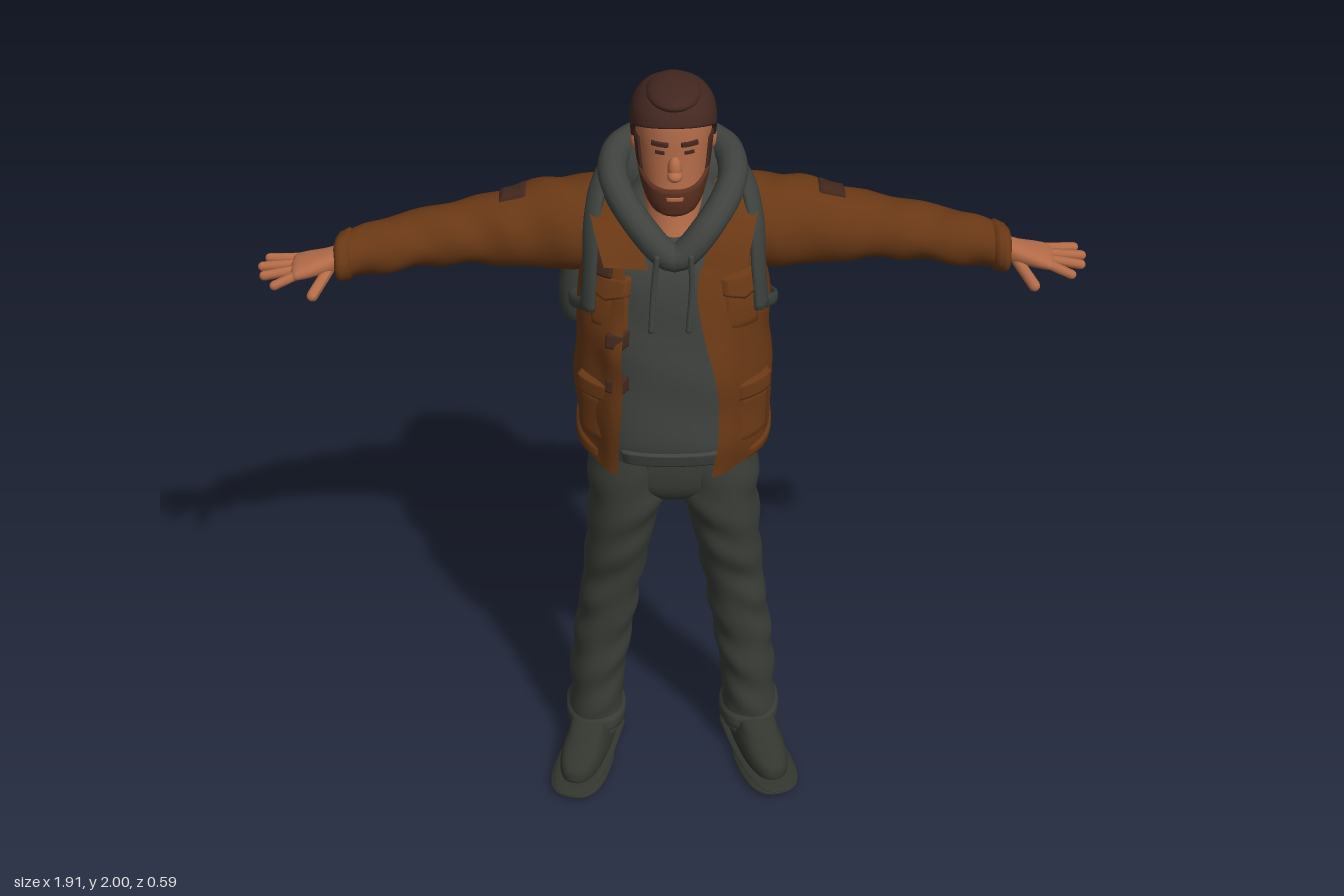
import * as THREE from 'three';
import { mergeVertices } from 'three/addons/utils/BufferGeometryUtils.js';

const TAU = Math.PI * 2;
const V = (x, y, z) => new THREE.Vector3(x, y, z);
const mat = (name, color, side = THREE.FrontSide) => {
  const m = new THREE.MeshStandardMaterial({ color, side });
  m.name = name;
  return m;
};

// Smooth interpolation of keyed rows [t, ...values]
function blend(rows, t) {
  const n = rows.length;
  let i = 0;
  while (i < n - 2 && t > rows[i + 1][0]) i++;
  const a = rows[i], b = rows[i + 1], p = rows[Math.max(i - 1, 0)], q = rows[Math.min(i + 2, n - 1)];
  const h = b[0] - a[0], s = THREE.MathUtils.clamp((t - a[0]) / h, 0, 1), s2 = s * s, s3 = s2 * s;
  return a.slice(1).map((va, k) => {
    const vb = b[k + 1];
    const ma = (vb - p[k + 1]) / (b[0] - p[0]) * h, mb = (q[k + 1] - va) / (q[0] - a[0]) * h;
    return (2 * s3 - 3 * s2 + 1) * va + (s3 - 2 * s2 + s) * ma + (3 * s2 - 2 * s3) * vb + (s3 - s2) * mb;
  });
}

// Grid surface from fn(u, v); u runs around, v along
function surf(fn, nu, nv) {
  const pos = [], idx = [], w = nu + 1;
  for (let j = 0; j <= nv; j++) for (let i = 0; i <= nu; i++) pos.push(...fn(i / nu, j / nv).toArray());
  for (let j = 0; j < nv; j++) for (let i = 0; i < nu; i++) {
    const a = j * w + i, d = a + w;
    idx.push(a, a + 1, d + 1, a, d + 1, d);
  }
  let g = new THREE.BufferGeometry();
  g.setAttribute('position', new THREE.Float32BufferAttribute(pos, 3));
  g.setIndex(idx);
  g = mergeVertices(g, 1e-5);
  g.computeVertexNormals();
  return g;
}

// Body surface point(t, angle, offset). axis y rows: [y, cx, cz, rx, rz]; axis x rows: [x, cz, cy, rz, ry]
function body(rows, { axis = 'y', e = 2, fold = 0, freq = 40 } = {}) {
  const pw = (v) => Math.sign(v) * Math.abs(v) ** (2 / e);
  const f = (t, th, off = 0) => {
    const [a, b, ra, rb] = blend(rows, t);
    const o = off + fold * Math.sin(t * freq + 2.5 * Math.sin(th)) * (0.6 + 0.4 * Math.sin(3 * th + t * 11));
    const p = a + (ra + o) * pw(Math.sin(th)), q = b + (rb + o) * pw(Math.cos(th));
    return axis === 'y' ? V(p, t, q) : V(t, q, p);
  };
  f.t0 = rows[0][0];
  f.t1 = rows[rows.length - 1][0];
  return f;
}
const whole = (f, nu = 40, nv = 40) => surf((u, v) => f(f.t0 + (f.t1 - f.t0) * v, u % 1 * TAU), nu, nv);

// Raised patch on a body; its rim sinks into the surface
function patch(f, t0, t1, th0, th1, off = 0.008, nu = 14, nv = 10) {
  const val = (x, k) => (typeof x === 'function' ? x(k) : x);
  return surf((u, v) => {
    const th = th0 + (th1 - th0) * u;
    const lo = val(t0, th), hi = val(t1, th);
    const rim = v === 0 || v === 1 || ((u === 0 || u === 1) && Math.abs(th1 - th0) < TAU - 0.01);
    return f(lo + (hi - lo) * v, th, rim ? -0.003 : off);
  }, nu, nv);
}

// Flat-oval band along a path, facing away from a centre
function sweep(pts, w, t, closed = false, nv = 48, c = V(0, 1.45, 0.06)) {
  const curve = new THREE.CatmullRomCurve3(pts.map((p) => V(...p)), closed);
  return surf((u, v) => {
    const p = curve.getPoint(v), T = curve.getTangent(v);
    const N = p.clone().sub(c).projectOnPlane(T).normalize(), B = T.clone().cross(N);
    const end = !closed && (v === 0 || v === 1) ? 0.01 : 1, a = (u % 1) * TAU;
    return p.addScaledVector(N, t * end * Math.cos(a)).addScaledVector(B, w * end * Math.sin(a));
  }, 12, nv);
}

const ball = (x, y, z, rx, ry, rz) => new THREE.SphereGeometry(1, 28, 20).scale(rx, ry, rz).translate(x, y, z);
function finger(a, b, r) {
  const p = V(...a), d = V(...b).sub(p), len = d.length();
  const q = new THREE.Quaternion().setFromUnitVectors(V(0, 1, 0), d.clone().normalize());
  return new THREE.CapsuleGeometry(r, len, 5, 10).applyQuaternion(q).translate(...p.addScaledVector(d, 0.5).toArray());
}
function mirror(geo) {
  const g = geo.clone(), ix = g.index.array;
  g.scale(-1, 1, 1);
  for (let i = 0; i < ix.length; i += 3) [ix[i], ix[i + 1]] = [ix[i + 1], ix[i]];
  g.computeVertexNormals();
  return g;
}

export function createModel() {
  const root = new THREE.Group();
  root.name = 'hiker';
  const D = THREE.DoubleSide;
  const skin = mat('skin', 0xb36b48), hair = mat('hair', 0x432720, D), beard = mat('beard', 0x5a2f1f, D);
  const leather = mat('jacketBrown', 0x693815, D), dark = mat('darkBrown', 0x42281d, D);
  const grey = mat('hoodieGrey', 0x3f423e, D), denim = mat('trouserGrey', 0x3b3e38, D);
  const boot = mat('bootGrey', 0x33362f, D), pack = mat('packGrey', 0x3b403c, D);
  const add = (name, geo, m) => {
    const mesh = new THREE.Mesh(geo, m);
    mesh.name = name;
    root.add(mesh);
  };
  const both = (name, geo, m) => { add(name + 'Left', geo, m); add(name + 'Right', mirror(geo), m); };

  // Head and neck
  const head = body([[1.7, 0, 0.145, 0.002, 0.002], [1.708, 0, 0.145, 0.035, 0.045], [1.725, 0, 0.132, 0.054, 0.068],
    [1.76, 0, 0.114, 0.068, 0.09], [1.8, 0, 0.1, 0.077, 0.1], [1.85, 0, 0.093, 0.083, 0.104], [1.9, 0, 0.09, 0.086, 0.106],
    [1.94, 0, 0.09, 0.081, 0.1], [1.968, 0, 0.09, 0.063, 0.08], [1.985, 0, 0.09, 0.035, 0.045], [1.99, 0, 0.09, 0.002, 0.002]], { e: 2.2 });
  add('head', whole(head), skin);
  add('neck', whole(body([[1.58, 0, 0.1, 0.07, 0.085], [1.68, 0, 0.078, 0.068, 0.076], [1.8, 0, 0.07, 0.066, 0.072]])), skin);
  add('nose', ball(0, 1.832, 0.198, 0.016, 0.028, 0.018), skin);
  add('noseTip', ball(0, 1.818, 0.208, 0.017, 0.013, 0.02), skin);
  both('ear', ball(0.086, 1.842, 0.068, 0.012, 0.031, 0.02), skin);
  const hairline = (th) => 1.86 + 0.07 * Math.max(0, Math.cos(th)) ** 0.5 - 0.07 * Math.max(0, -Math.cos(th)) ** 0.5;
  add('hair', patch(head, hairline, 1.99, 0, TAU, 0.011, 48, 20), hair);
  add('hairTop', ball(0, 1.974, 0.105, 0.062, 0.026, 0.088), hair);
  both('sideburn', patch(head, 1.8, 1.885, 1.05, 1.5, 0.005), hair);
  add('beard', patch(head, 1.703, (th) => 1.782 + 0.045 * Math.min(1, Math.abs(th) / 1.35) ** 3, -1.4, 1.4, 0.006, 30, 14), beard);
  add('lips', patch(head, 1.754, 1.764, -0.25, 0.25, 0.009), skin);
  both('eyebrow', patch(head, 1.884, 1.895, 0.12, 0.6, 0.006), hair);
  both('eye', patch(head, 1.864, 1.873, 0.22, 0.5, 0.003), hair);

  // Hoodie with hanging hood and cords
  const hoodie = body([[1.045, 0, 0.08, 0.2, 0.155], [1.1, 0, 0.08, 0.21, 0.165], [1.3, 0, 0.08, 0.205, 0.158], [1.5, 0, 0.075, 0.2, 0.15],
    [1.6, 0, 0.062, 0.17, 0.135], [1.67, 0, 0.045, 0.12, 0.085], [1.72, 0, 0.03, 0.08, 0.05]], { e: 2.5, fold: 0.003, freq: 30 });
  add('hoodie', whole(hoodie), grey);
  add('hoodieRib', patch(hoodie, 1.045, 1.09, -0.6, 0.6, 0.007), grey);
  add('hoodRim', sweep([[0, 1.605, 0.205], [0.075, 1.67, 0.18], [0.135, 1.735, 0.07], [0.115, 1.76, -0.04], [0, 1.765, -0.1],
    [-0.115, 1.76, -0.04], [-0.135, 1.735, 0.07], [-0.075, 1.67, 0.18]], 0.034, 0.036, true), grey);
  add('hoodBag', ball(0, 1.7, -0.065, 0.165, 0.1, 0.11), grey);
  add('cordLeft', sweep([[0.035, 1.63, 0.235], [0.038, 1.55, 0.238], [0.03, 1.43, 0.25]], 0.007, 0.007), grey);
  add('cordRight', sweep([[-0.04, 1.63, 0.235], [-0.048, 1.55, 0.238], [-0.055, 1.43, 0.25]], 0.007, 0.007), grey);

  // Open jacket
  const coat = body([[1.03, 0, 0.082, 0.222, 0.178], [1.2, 0, 0.085, 0.233, 0.176], [1.4, 0, 0.08, 0.225, 0.17], [1.5, 0, 0.073, 0.218, 0.163],
    [1.6, 0, 0.06, 0.205, 0.152], [1.66, 0, 0.048, 0.185, 0.13], [1.71, 0, 0.035, 0.15, 0.1], [1.74, 0, 0.03, 0.11, 0.07]], { e: 2.5, fold: 0.004, freq: 34 });
  const opening = [[1.03, 0.075, 0.12], [1.25, 0.085, 0.105], [1.5, 0.05, 0.11], [1.58, 0.06, 0.115], [1.66, 0.11, 0.125], [1.74, 0.1, 0.1]];
  add('jacket', surf((u, v) => {
    const y0 = 1.045 + 0.69 * v, [l, r] = blend(opening, y0);
    const rx = 0.222 - Math.max(0, y0 - 1.58) * 0.62;
    const ang = (x) => Math.asin(Math.min(0.95, x / rx) ** 1.25);
    const th = ang(l) + (TAU - ang(r) - ang(l)) * u;
    const edge = Math.exp(-((Math.min(u, 1 - u) / 0.05) ** 2)) * 0.03 * THREE.MathUtils.clamp((1.62 - y0) / 0.25, 0, 1);
    return coat(y0 + (1 - v) * 0.02 * (1 - Math.cos(th)), th, edge);
  }, 72, 44), leather);
  add('hem', patch(coat, (th) => 1.045 + 0.02 * (1 - Math.cos(th)), (th) => 1.085 + 0.02 * (1 - Math.cos(th)), 0.75, TAU - 0.75, 0.006, 48, 5), leather);
  both('lapel', surf((u, v) => {
    const a = V(0.06, 1.585, 0.225).lerp(V(0.16, 1.6, 0.235), u), b = V(0.12, 1.745, 0.06).lerp(V(0.2, 1.7, 0.07), u);
    return a.lerp(b, v).add(V(0, 0.012, 0.03).multiplyScalar(Math.sin(v * Math.PI)));
  }, 6, 8), leather);
  both('chestPocket', patch(coat, 1.42, 1.54, 0.42, 0.95, 0.006), leather);
  both('chestFlap', patch(coat, (th) => 1.515 - 0.02 * (1 - Math.abs(th - 0.68) / 0.28), 1.56, 0.4, 0.97, 0.013), leather);
  both('hipPocket', patch(coat, 1.11, 1.25, 0.55, 1.15, 0.007), leather);
  both('hipFlap', patch(coat, 1.235, 1.285, 0.53, 1.17, 0.013), leather);
  for (const y of [1.29, 1.41]) add('closureTab', patch(coat, y - 0.02, y + 0.02, -0.62, -0.4, 0.024), dark);
  add('chestPatch', patch(coat, 1.55, 1.61, -0.95, -0.6, 0.012), dark);

  // Sleeves
  const arm = body([[0.1, 0.02, 1.59, 0.1, 0.11], [0.2, 0.01, 1.585, 0.105, 0.113], [0.28, 0, 1.58, 0.1, 0.108], [0.4, 0, 1.567, 0.085, 0.088],
    [0.5, 0.008, 1.562, 0.076, 0.071], [0.6, 0.022, 1.553, 0.072, 0.066], [0.7, 0.052, 1.547, 0.062, 0.058], [0.76, 0.078, 1.545, 0.052, 0.052],
    [0.778, 0.083, 1.545, 0.046, 0.044], [0.782, 0.084, 1.545, 0.01, 0.01]], { axis: 'x', fold: 0.005, freq: 48 });
  both('sleeve', whole(arm, 32, 70), leather);
  both('cuff', patch(arm, 0.735, 0.772, 0, TAU, 0.006, 28, 5), leather);
  both('shoulderPatch', patch(arm, 0.335, 0.4, -0.35, 0.35, 0.007), dark);

  // Hands
  both('palm', whole(body([[0.765, 0.088, 1.548, 0.032, 0.026], [0.8, 0.097, 1.543, 0.04, 0.022], [0.85, 0.105, 1.536, 0.05, 0.018],
    [0.872, 0.106, 1.532, 0.044, 0.013], [0.878, 0.106, 1.531, 0.005, 0.003]], { axis: 'x', e: 2.5 }), 20, 16), skin);
  [[0.068, 0.928, 0.06, 1.53], [0.092, 0.942, 0.09, 1.526], [0.117, 0.936, 0.125, 1.523], [0.139, 0.91, 0.16, 1.518]].forEach(([z, x, z2, y2]) =>
    both('finger', finger([0.855, 1.535, z], [x, y2, z2], 0.0115), skin));
  both('thumb', finger([0.79, 1.53, 0.115], [0.823, 1.503, 0.182], 0.0135), skin);

  // Trousers
  const leg = body([[0.07, 0.203, 0.012, 0.068, 0.085], [0.12, 0.2, 0.008, 0.07, 0.09], [0.2, 0.196, 0.008, 0.068, 0.092], [0.3, 0.189, 0.014, 0.071, 0.096],
    [0.4, 0.176, 0.02, 0.073, 0.096], [0.5, 0.164, 0.04, 0.073, 0.09], [0.6, 0.151, 0.054, 0.075, 0.088], [0.7, 0.138, 0.066, 0.08, 0.1],
    [0.8, 0.125, 0.07, 0.086, 0.118], [0.9, 0.108, 0.074, 0.099, 0.13], [1, 0.1, 0.075, 0.103, 0.133], [1.1, 0.1, 0.075, 0.1, 0.13]], { e: 2.2, fold: 0.005, freq: 46 });
  both('trouserLeg', whole(leg, 36, 80), denim);
  both('trouserCuff', patch(leg, 0.08, 0.135, 0, TAU, 0.006, 32, 5), denim);
  add('hips', whole(body([[0.87, 0, 0.07, 0.01, 0.05], [0.9, 0, 0.072, 0.09, 0.1], [0.96, 0, 0.075, 0.185, 0.127], [1.1, 0, 0.075, 0.2, 0.135]], { e: 2.5 })), denim);

  // Boots, turned outward
  const place = (g) => g.rotateY(0.28).translate(0.198, 0, 0.005);
  both('boot', place(whole(body([[0.02, 0, 0.08, 0.05, 0.15], [0.045, 0, 0.082, 0.058, 0.155], [0.075, 0, 0.078, 0.055, 0.145],
    [0.1, 0, 0.05, 0.05, 0.11], [0.13, 0, 0.015, 0.052, 0.075], [0.2, 0, 0, 0.05, 0.065]], { e: 2.5 }))), boot);
  const slab = (z, rx, rz, y0, y1) => place(whole(body([[y0, 0, z, 0.003, 0.003], [y0 + 0.001, 0, z, rx, rz], [y1, 0, z, rx, rz], [y1 + 0.001, 0, z, 0.003, 0.003]], { e: 2.6 }), 32, 24));
  both('frontSole', slab(0.145, 0.06, 0.1, 0, 0.028), boot);
  both('heel', slab(-0.02, 0.052, 0.056, 0, 0.032), boot);
  both('welt', slab(0.082, 0.056, 0.157, 0.018, 0.034), boot);

  // Backpack
  const px = -0.045;
  const bag = body([[1.175, px, -0.17, 0.01, 0.01], [1.182, px, -0.175, 0.13, 0.07], [1.22, px, -0.188, 0.158, 0.1], [1.35, px, -0.19, 0.162, 0.1],
    [1.5, px, -0.175, 0.148, 0.086], [1.6, px, -0.155, 0.122, 0.066], [1.66, px, -0.14, 0.085, 0.045], [1.685, px, -0.135, 0.01, 0.01]], { e: 3, fold: 0.002, freq: 30 });
  add('packBody', whole(bag, 48, 44), pack);
  add('packPocket', whole(body([[1.185, px, -0.25, 0.01, 0.01], [1.195, px, -0.25, 0.1, 0.03], [1.25, px, -0.255, 0.125, 0.045],
    [1.36, px, -0.25, 0.12, 0.042], [1.4, px, -0.245, 0.105, 0.03], [1.405, px, -0.24, 0.01, 0.01]], { e: 3 })), pack);
  for (const s of [-1, 1]) add('packSidePocket', whole(body([[1.21, px + s * 0.155, -0.16, 0.01, 0.01], [1.225, px + s * 0.16, -0.16, 0.05, 0.05],
    [1.3, px + s * 0.165, -0.16, 0.062, 0.068], [1.4, px + s * 0.15, -0.155, 0.055, 0.06], [1.45, px + s * 0.135, -0.15, 0.03, 0.035], [1.46, px + s * 0.13, -0.15, 0.005, 0.005]], { e: 2.4 }), 24, 24), pack);
  add('packSeam', patch(bag, 1.45, 1.465, Math.PI / 2, Math.PI * 1.5, 0.008, 30, 4), pack);
  add('packHandle', sweep([[px - 0.04, 1.66, -0.15], [px, 1.7, -0.17], [px + 0.04, 1.66, -0.15]], 0.01, 0.006), pack);
  both('strap', sweep([[0.07, 1.67, -0.14], [0.125, 1.735, -0.05], [0.165, 1.728, 0.06], [0.185, 1.665, 0.135], [0.192, 1.56, 0.172], [0.2, 1.45, 0.187]], 0.026, 0.012), pack);
  both('lowerStrap', sweep([[0.198, 1.47, 0.187], [0.235, 1.43, 0.1], [0.222, 1.385, 0], [0.18, 1.34, -0.075], [0.1, 1.32, -0.13]], 0.016, 0.008), pack);
  return root;
}
